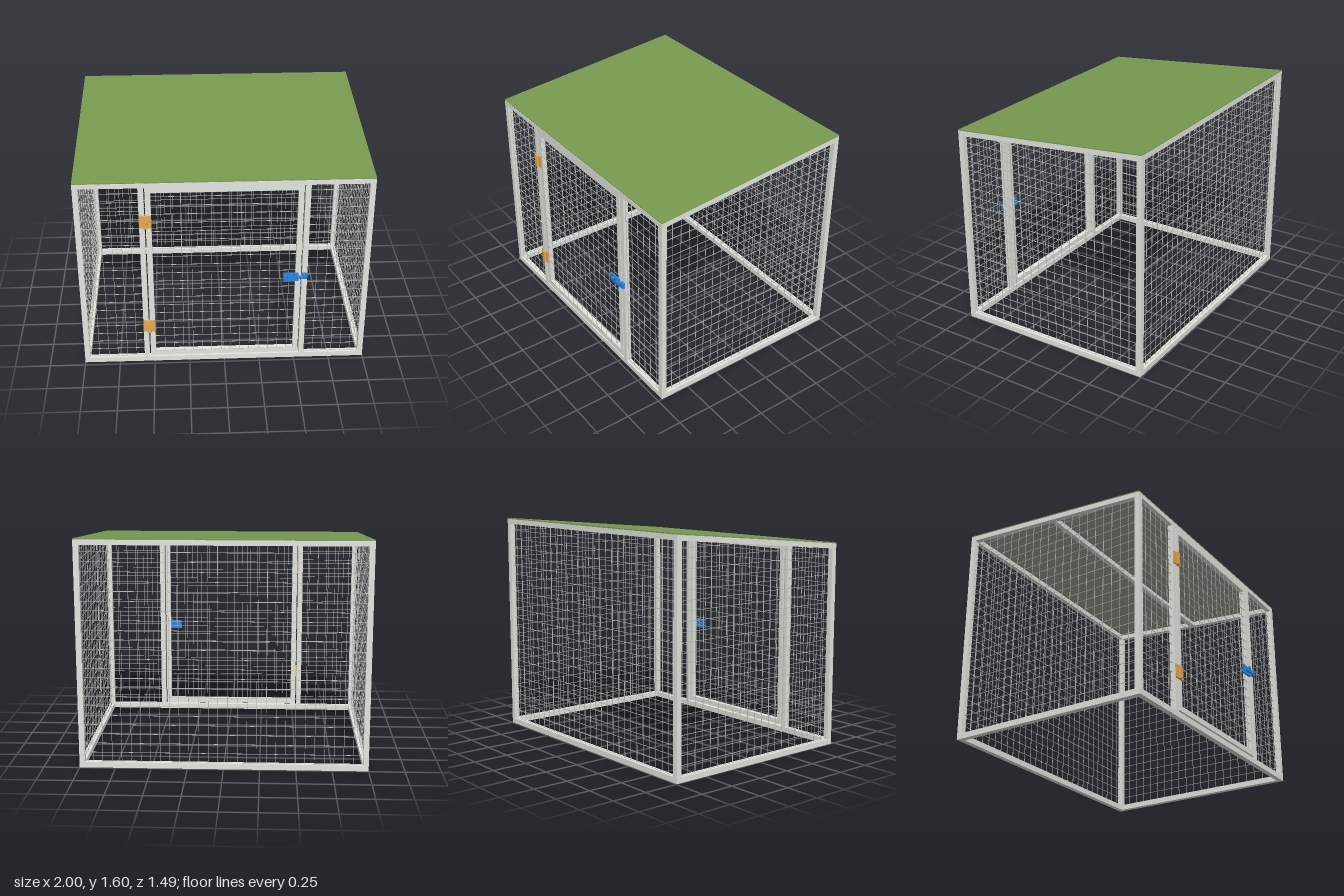
import * as THREE from 'three';
import { mergeGeometries } from 'three/addons/utils/BufferGeometryUtils.js';

const FRONT = 0.72, BACK = -0.745, BAR = 0.038, CELL = 0.0667, WIRE = 0.003;
const SLOPE = (1.6 - 1.465) / (FRONT - BACK);
const roofY = z => 1.465 + (FRONT - z) * SLOPE;
const zAtRoof = y => FRONT - (y - 1.465) / SLOPE;

function material(name, color) {
  const m = new THREE.MeshStandardMaterial({ color });
  m.name = name;
  return m;
}

// Box given by its limits on each axis
function box(x0, x1, y0, y1, z0, z1) {
  return new THREE.BoxGeometry(x1 - x0, y1 - y0, z1 - z0)
    .translate((x0 + x1) / 2, (y0 + y1) / 2, (z0 + z1) / 2);
}

// Side profile of [z, y] points, extruded across x
function profile(points, x0, x1, hole) {
  const toVec = p => new THREE.Vector2(-p[0], p[1]);
  const shape = new THREE.Shape(points.map(toVec));
  if (hole) shape.holes.push(new THREE.Path(hole.map(toVec)));
  return new THREE.ExtrudeGeometry(shape, { depth: x1 - x0, bevelEnabled: false })
    .rotateY(Math.PI / 2).translate(x0, 0, 0);
}

// Slab that follows the roof pitch, between two depths under the roof line
function pitched(x0, x1, z0, z1, top, bottom) {
  return profile([
    [z1, roofY(z1) - bottom], [z0, roofY(z0) - bottom],
    [z0, roofY(z0) - top], [z1, roofY(z1) - top],
  ], x0, x1);
}

// Flat wire grid facing z
function wireGrid(x0, x1, y0, y1, z) {
  const w = WIRE / 2, parts = [];
  for (let x = x0; x <= x1; x += CELL) parts.push(box(x - w, x + w, y0, y1, z - w, z + w));
  for (let y = y0; y <= y1; y += CELL) parts.push(box(x0, x1, y - w, y + w, z - w, z + w));
  return mergeGeometries(parts);
}

// Wire grid facing x, cut off by the sloping top rail
function sideGrid(x) {
  const w = WIRE / 2, parts = [], zf = FRONT - BAR, zb = BACK + BAR;
  for (let z = 0.625; z > zb; z -= CELL) {
    parts.push(box(x - w, x + w, BAR, roofY(z) - BAR, z - w, z + w));
  }
  for (let y = 0.04; y < roofY(zb) - BAR; y += CELL) {
    parts.push(box(x - w, x + w, y - w, y + w, zb, Math.min(zf, zAtRoof(y + BAR))));
  }
  return mergeGeometries(parts);
}

export function createModel() {
  const model = new THREE.Group();
  model.name = 'wireRun';
  const metal = material('paleGreyFrame', 0xe6eae3);
  const wire = material('greyWire', 0xb8bbb6);
  const green = material('greenRoof', 0x789a4f);
  const lining = material('greyRoofLining', 0xa3a89b);
  const brass = material('ochreHinge', 0xe6aa50);
  const blue = material('blueLatch', 0x2a86e6);

  const add = (name, geometry, mat, parent = model) => {
    const mesh = new THREE.Mesh(geometry, mat);
    mesh.name = name;
    parent.add(mesh);
    return mesh;
  };
  const group = name => {
    const g = new THREE.Group();
    g.name = name;
    model.add(g);
    return g;
  };

  // Roof sheet and its underside
  add('roofSheet', pitched(-1, 1, BACK, FRONT, 0, 0.005), green);
  add('roofLining', pitched(-0.998, 0.998, BACK + 0.002, FRONT - 0.002, 0.0052, 0.008), lining);

  // Side frames, each one closed tube outline with a sloping top
  const under = 0.008, inF = FRONT - BAR, inB = BACK + BAR;
  const outer = [[FRONT, 0], [BACK, 0], [BACK, roofY(BACK) - under], [FRONT, roofY(FRONT) - under]];
  const inner = [[inF, 0.04], [inB, 0.04], [inB, roofY(inB) - 0.044], [inF, roofY(inF) - 0.044]];
  for (const [name, x] of [['right', -1], ['left', 1 - BAR]]) {
    add(name + 'SideFrame', profile(outer, x, x + BAR, inner), metal);
    add(name + 'SideWire', sideGrid(x + BAR / 2), wire);
  }

  // Cross rails between the sides
  const xr = 1 - BAR;
  add('frontSill', box(-xr, xr, 0, 0.04, inF, FRONT), metal);
  add('backSill', box(-xr, xr, 0, 0.04, BACK, inB), metal);
  add('frontTopRail', pitched(-xr, xr, inF, FRONT, under, 0.042), metal);
  add('backTopRail', pitched(-xr, xr, BACK, inB, under, 0.044), metal);
  add('roofRafter', pitched(-xr, xr, -0.03, 0.008, under, 0.044), metal);

  // Door posts and fixed wire panels
  const midF = FRONT - BAR / 2;
  for (const [name, s] of [['right', -1], ['left', 1]]) {
    const a = s * 0.535, b = s * 0.572;
    add(name + 'DoorPost', box(Math.min(a, b), Math.max(a, b), 0.04, 1.425, inF, FRONT), metal);
    const e = s * 0.962;
    add(name + 'FrontWire', wireGrid(Math.min(b, e), Math.max(b, e), 0.04, 1.425, midF), wire);
  }
  add('backWire', wireGrid(-xr, xr, 0.04, 1.555, BACK + BAR / 2), wire);

  // Door
  const door = group('door');
  for (const s of [-1, 1]) {
    add('doorStile', box(s * 0.5085 - 0.0185, s * 0.5085 + 0.0185, 0.052, 1.424, inF, FRONT), metal, door);
  }
  add('doorTopRail', box(-0.49, 0.49, 1.386, 1.424, inF, FRONT), metal, door);
  add('doorBottomRail', box(-0.49, 0.49, 0.052, 0.089, inF, FRONT), metal, door);
  add('doorWire', wireGrid(-0.49, 0.49, 0.089, 1.386, FRONT - 0.002), wire, door);

  // Hinges: flat leaf and knuckle
  for (const y of [0.268, 1.122]) {
    const hinge = group('hinge');
    add('hingeLeaf', box(-0.572, -0.49, y, y + 0.094, FRONT, 0.729), brass, hinge);
    add('hingeKnuckle', box(-0.543, -0.519, y, y + 0.094, 0.729, 0.745), brass, hinge);
  }

  // Sliding latch: plate, bolt, knob and keeper
  const latch = group('latch');
  add('latchPlate', box(0.405, 0.51, 0.67, 0.735, FRONT, 0.731), blue, latch);
  add('latchBolt', box(0.435, 0.56, 0.697, 0.717, 0.731, 0.743), blue, latch);
  add('latchKnob', box(0.473, 0.497, 0.715, 0.741, 0.731, 0.745), blue, latch);
  add('latchKeeper', box(0.535, 0.57, 0.693, 0.733, FRONT, 0.74), blue, latch);

  return model;
}
